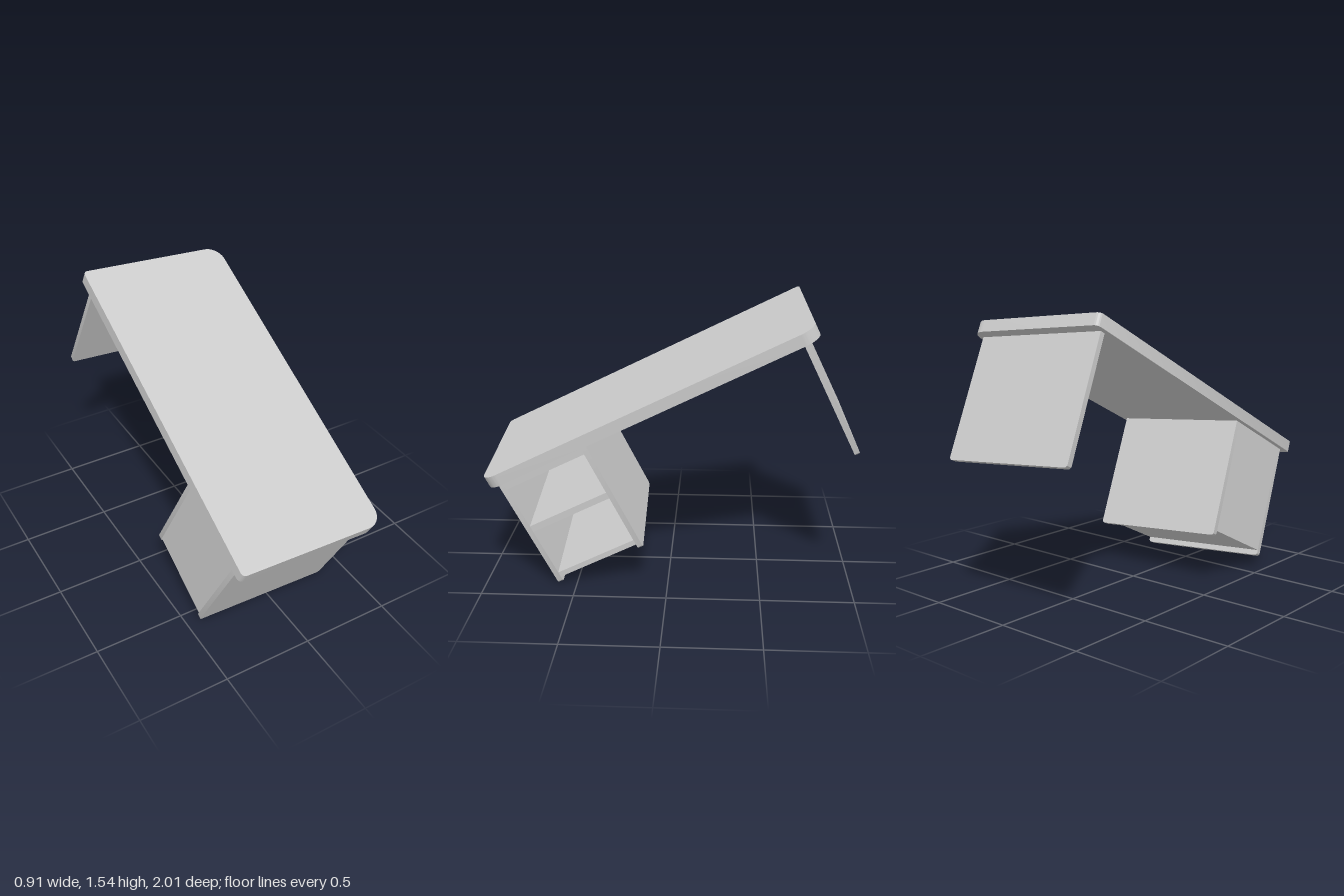
import * as THREE from 'three';
import { toCreasedNormals } from 'three/addons/utils/BufferGeometryUtils.js';

const material = new THREE.MeshStandardMaterial({ color: 0xcccccc });

function addMesh(parent, name, geometry, x = 0, y = 0, z = 0) {
  const mesh = new THREE.Mesh(geometry, material);
  mesh.name = name;
  mesh.position.set(x, y, z);
  parent.add(mesh);
  return mesh;
}

// Rectangle with a separate radius for each corner
function roundedRect(x0, y0, x1, y1, [bl, br, tr, tl]) {
  const s = new THREE.Shape();
  s.moveTo(x0 + bl, y0);
  s.lineTo(x1 - br, y0);
  if (br) s.absarc(x1 - br, y0 + br, br, -Math.PI / 2, 0);
  s.lineTo(x1, y1 - tr);
  if (tr) s.absarc(x1 - tr, y1 - tr, tr, 0, Math.PI / 2);
  s.lineTo(x0 + tl, y1);
  if (tl) s.absarc(x0 + tl, y1 - tl, tl, Math.PI / 2, Math.PI);
  s.lineTo(x0, y0 + bl);
  if (bl) s.absarc(x0 + bl, y0 + bl, bl, Math.PI, Math.PI * 1.5);
  return s;
}

function slab(shape, depth) {
  const geo = new THREE.ExtrudeGeometry(shape, { depth, bevelEnabled: false, curveSegments: 10 });
  return toCreasedNormals(geo, 0.6);
}

export function createModel() {
  const model = new THREE.Group();
  const desk = new THREE.Group();
  desk.name = 'desk';
  model.add(desk);

  const underside = 0.668, topThickness = 0.065;
  const halfWidth = 0.4025, board = 0.029;

  // Desktop: large corner radius on the open side, small on the closed side
  const top = slab(roundedRect(-0.435, -0.957, 0.435, 0.957, [0.025, 0.09, 0.09, 0.025]), topThickness);
  top.rotateX(-Math.PI / 2);
  addMesh(desk, 'desktop', top, 0, underside, 0);

  // Three upright panels with rounded lower corners; z is the rear face
  const panel = slab(roundedRect(-halfWidth, 0, halfWidth, underside, [0.018, 0.018, 0, 0]), board);
  const uprights = { frontPanel: 0.897 - board, cabinetRearPanel: 0.373, rearLeg: -0.892 };
  for (const [name, z] of Object.entries(uprights)) addMesh(desk, name, panel, 0, 0, z);

  // Open shelf cabinet between the front two panels
  const z0 = uprights.cabinetRearPanel + board, z1 = uprights.frontPanel;
  const depth = z1 - z0, mid = (z0 + z1) / 2;
  const shelves = { bottomShelf: [0.03, 0.06], middleShelf: [0.34, 0.377], topShelf: [0.623, underside] };
  for (const [name, [y0, y1]] of Object.entries(shelves)) {
    addMesh(desk, name, new THREE.BoxGeometry(halfWidth * 2, y1 - y0, depth), 0, (y0 + y1) / 2, mid);
  }
  addMesh(desk, 'cabinetSidePanel', new THREE.BoxGeometry(0.02, underside - 0.03, depth),
    -halfWidth + 0.01, (underside + 0.03) / 2, mid);

  // Tilted pose of the whole desk
  const z = new THREE.Vector3(-0.008, -0.441, 0.897).normalize();
  const y = z.clone().cross(new THREE.Vector3(0.9965, -0.077, -0.03)).normalize();
  const x = y.clone().cross(z);
  desk.quaternion.setFromRotationMatrix(new THREE.Matrix4().makeBasis(x, y, z));
  desk.position.set(-0.042, 0.43, -0.191);
  return model;
}
